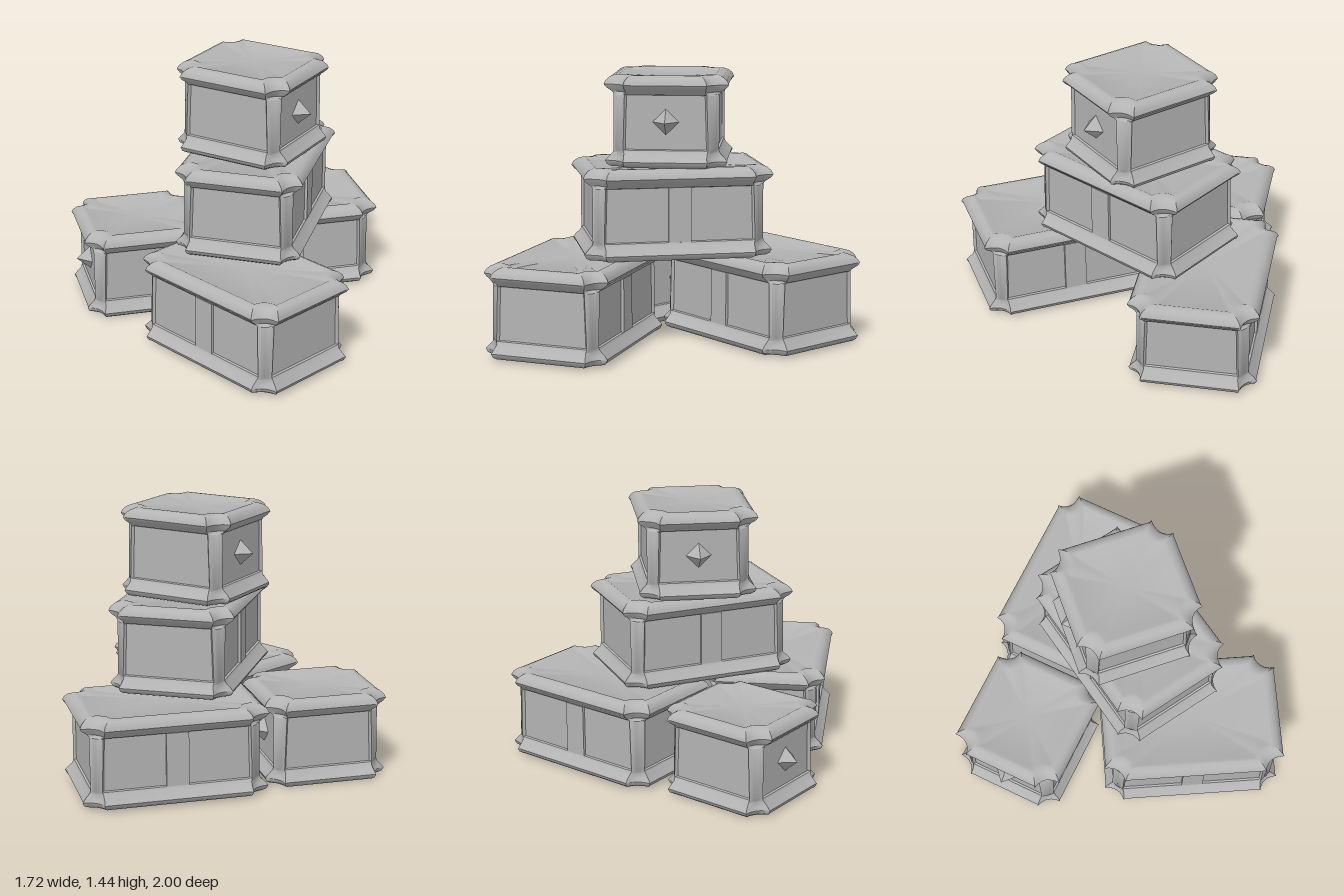
import * as THREE from 'three';
import { toCreasedNormals } from 'three/addons/utils/BufferGeometryUtils.js';

const stone = new THREE.MeshStandardMaterial({ color: 0xb4b4b4 });
stone.name = 'plain grey';

// Vertical profile: height, inset, corner cut in x and z, scallop depth, side recess
const PROFILE = [
  [0.000, 0.034, 0.070, 0.090, 0.020, 0.002],
  [0.012, 0.015, 0.076, 0.096, 0.030, 0.004],
  [0.032, 0.005, 0.080, 0.102, 0.036, 0.005],
  [0.052, 0.022, 0.070, 0.088, 0.026, 0.004],
  [0.075, 0.045, 0.054, 0.064, 0.008, 0.002],
  [0.090, 0.050, 0.046, 0.054, 0.000, 0.004],
  [0.094, 0.050, 0.046, 0.054, -0.004, 0.015],
  [0.376, 0.050, 0.056, 0.062, -0.004, 0.015],
  [0.380, 0.049, 0.058, 0.064, 0.004, 0.004],
  [0.392, 0.040, 0.066, 0.078, 0.020, 0.003],
  [0.412, 0.014, 0.078, 0.100, 0.036, 0.005],
  [0.430, 0.000, 0.085, 0.110, 0.044, 0.006],
  [0.450, 0.010, 0.082, 0.105, 0.044, 0.005],
  [0.468, 0.030, 0.078, 0.098, 0.040, 0.003],
  [0.478, 0.055, 0.074, 0.090, 0.036, 0.002],
  [0.478, 0.072, 0.072, 0.086, 0.034, 0.001],
  [0.468, 0.092, 0.070, 0.082, 0.032, 0.000],
];

// One closed outline with scalloped corners
function outline(a, b, [y, o, cx, cz, s, r]) {
  const A = a - o, B = b - o;
  const corner = [[A - r, B - cz - 0.01]];
  for (let i = 0; i <= 6; i++) {
    const t = i / 6, dip = 2 * t * (1 - t) * s;
    corner.push([A - cx * t - dip, B - cz * (1 - t) - dip]);
  }
  corner.push([A - cx - 0.01, B - r]);
  const back = [...corner].reverse();
  return [[1, 1, corner], [-1, 1, back], [-1, -1, corner], [1, -1, back]]
    .flatMap(([sx, sz, pts]) => pts.map(([x, z]) => [sx * x, y, sz * z]));
}

// Loft of the outlines, capped above and below
function shellGeometry(a, b) {
  const rings = PROFILE.map((row) => outline(a, b, row));
  const n = rings[0].length, pos = rings.flat(2), index = [];
  const last = (rings.length - 1) * n, low = rings.length * n, high = low + 1;
  pos.push(0, PROFILE[0][0], 0, 0, PROFILE[PROFILE.length - 1][0], 0);
  for (let j = 0; j < n; j++) {
    const k = (j + 1) % n;
    for (let i = 0; i < rings.length - 1; i++) {
      const p = i * n, q = p + n;
      index.push(p + j, q + j, p + k, q + j, q + k, p + k);
    }
    index.push(low, j, k, high, last + k, last + j);
  }
  const g = new THREE.BufferGeometry();
  g.setAttribute('position', new THREE.Float32BufferAttribute(pos, 3));
  g.setIndex(index);
  return toCreasedNormals(g, 0.65);
}

function addMesh(parent, geometry, name) {
  const mesh = new THREE.Mesh(geometry, stone);
  mesh.name = name;
  parent.add(mesh);
  return mesh;
}

function crate(name, long, x, y, z, degrees) {
  const a = long ? 0.346 : 0.342, b = long ? 0.502 : 0.325;
  const group = new THREE.Group();
  group.name = name;
  addMesh(group, shellGeometry(a, b), 'crateShell');
  for (const side of [1, -1]) {
    if (long) {
      // Upright strap on each long side
      const strap = addMesh(group, new THREE.BoxGeometry(0.03, 0.288, 0.12), 'strap');
      strap.position.set(side * (a - 0.065), 0.235, 0);
    } else {
      // Diamond stud on two opposite sides
      const cone = new THREE.ConeGeometry(0.071, 0.08, 4, 1).toNonIndexed();
      cone.computeVertexNormals();
      const stud = addMesh(group, cone, 'diamondStud');
      stud.position.set(side * (a - 0.028), 0.238, 0);
      stud.rotation.z = -side * Math.PI / 2;
    }
  }
  group.position.set(x, y, z);
  group.rotation.y = THREE.MathUtils.degToRad(degrees);
  return group;
}

export function createModel() {
  const model = new THREE.Group();
  model.name = 'crateStack';
  model.add(
    crate('frontLongCrate', true, 0.294, 0.012, 0.5, 60),
    crate('backLongCrate', true, 0.236, 0.012, -0.508, 120),
    crate('rightSmallCrate', false, -0.462, 0, -0.007, 30),
    crate('middleLongCrate', true, 0.225, 0.49, -0.02, 0),
    crate('topSmallCrate', false, 0.195, 0.966, -0.025, -15),
  );
  return model;
}
